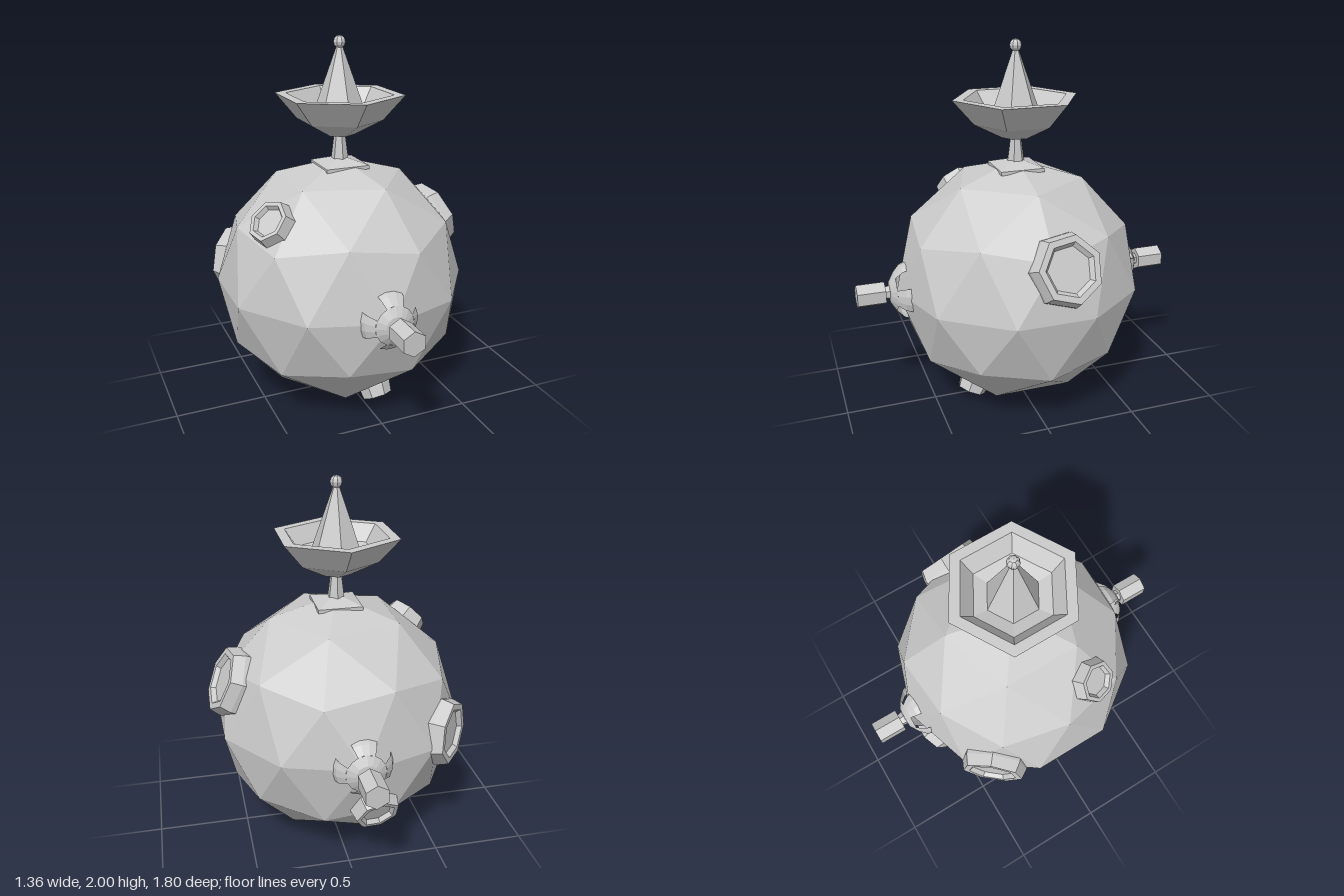
import * as THREE from 'three';

const AXIS_X = -0.034, CENTRE_Y = 0.682, RADIUS = 0.682;

const grey = new THREE.MeshStandardMaterial({ color: 0xcccccc, flatShading: true });
const greyThin = new THREE.MeshStandardMaterial({ color: 0xcccccc, flatShading: true, side: THREE.DoubleSide });

// Faceted solid of revolution around y from [radius, height] pairs
function turned(name, profile, sides, material = grey, start = 0, sweep = Math.PI * 2) {
  const points = profile.map(([r, y]) => new THREE.Vector2(r, y));
  const mesh = new THREE.Mesh(new THREE.LatheGeometry(points, sides, start, sweep), material);
  mesh.name = name;
  return mesh;
}

// Low-poly globe with one vertex at the top
function makeGlobe() {
  const geometry = new THREE.IcosahedronGeometry(RADIUS, 1);
  geometry.rotateZ(-Math.atan(2 / (1 + Math.sqrt(5))));
  const mesh = new THREE.Mesh(geometry, grey);
  mesh.name = 'globe';
  return mesh;
}

// Seven-sided raised rim with a shallow floor, pointing away from the globe centre
function makeCrater(direction, r) {
  const crater = turned('crater', [
    [r, 0.6], [r, 0.645], [r * 0.9, 0.706], [r * 0.72, 0.706], [r * 0.62, 0.682], [0, 0.682],
  ], 7);
  crater.quaternion.setFromUnitVectors(
    new THREE.Vector3(0, 1, 0), new THREE.Vector3(...direction).normalize());
  return crater;
}

// Cannon along y: slotted dome of four petals, neck and hexagonal barrel
function makeCannon() {
  const cannon = new THREE.Group();
  cannon.name = 'cannon';
  cannon.add(turned('cannonDome', [[0.105, 0.693], [0.06, 0.72], [0, 0.728]], 16, greyThin));
  const petalWidth = Math.PI * 0.28;
  for (let i = 0; i < 4; i++) {
    cannon.add(turned('domePetal', [[0.162, 0.61], [0.145, 0.655], [0.105, 0.693]], 3,
      greyThin, i * Math.PI / 2 - petalWidth / 2, petalWidth));
  }
  cannon.add(turned('cannonNeck', [[0.045, 0.7], [0.033, 0.755]], 6));
  cannon.add(turned('cannonBarrel', [[0, 0.748], [0.066, 0.748], [0.066, 0.9], [0, 0.9]], 6));
  return cannon;
}

// Mast, dish, spike and ball on a square foot
function makeAntenna() {
  const antenna = new THREE.Group();
  antenna.name = 'antenna';
  const d = Math.SQRT2;
  const foot = turned('antennaFoot', [
    [0, 1.312], [0.12 * d, 1.312], [0.12 * d, 1.332], [0.03 * d, 1.363], [0, 1.363],
  ], 4);
  foot.rotation.y = Math.PI / 4;
  antenna.add(foot);
  antenna.add(turned('antennaMast', [[0.05, 1.33], [0.028, 1.5]], 6));
  antenna.add(turned('antennaDish', [
    [0, 1.487], [0.078, 1.487], [0.23, 1.567], [0.345, 1.7],
    [0.285, 1.7], [0.218, 1.612], [0.13, 1.59], [0, 1.585],
  ], 6));
  antenna.add(turned('antennaSpike', [[0.147, 1.58], [0.012, 1.955]], 6));
  const ball = new THREE.Mesh(new THREE.SphereGeometry(0.033, 8, 6), grey);
  ball.name = 'antennaBall';
  ball.position.y = 1.967;
  antenna.add(ball);
  return antenna;
}

export function createModel() {
  const model = new THREE.Group();
  model.name = 'armedGlobe';

  const body = new THREE.Group();
  body.name = 'body';
  body.position.set(AXIS_X, CENTRE_Y, 0);
  body.add(makeGlobe());

  // Craters: direction from the centre, outer radius
  const craters = [
    [[0.6, 0.265, -0.065], 0.195],
    [[-0.53, 0.03, -0.45], 0.188],
    [[-0.455, 0.43, 0.215], 0.125],
    [[-0.086, -0.307, -0.624], 0.13],
    [[0.095, -0.61, 0.295], 0.09],
  ];
  for (const [direction, r] of craters) body.add(makeCrater(direction, r));

  // Cannons at front and back
  for (const side of [1, -1]) {
    const cannon = makeCannon();
    cannon.rotation.x = side * Math.PI / 2;
    body.add(cannon);
  }
  model.add(body);

  const antenna = makeAntenna();
  antenna.position.x = AXIS_X;
  model.add(antenna);
  return model;
}
